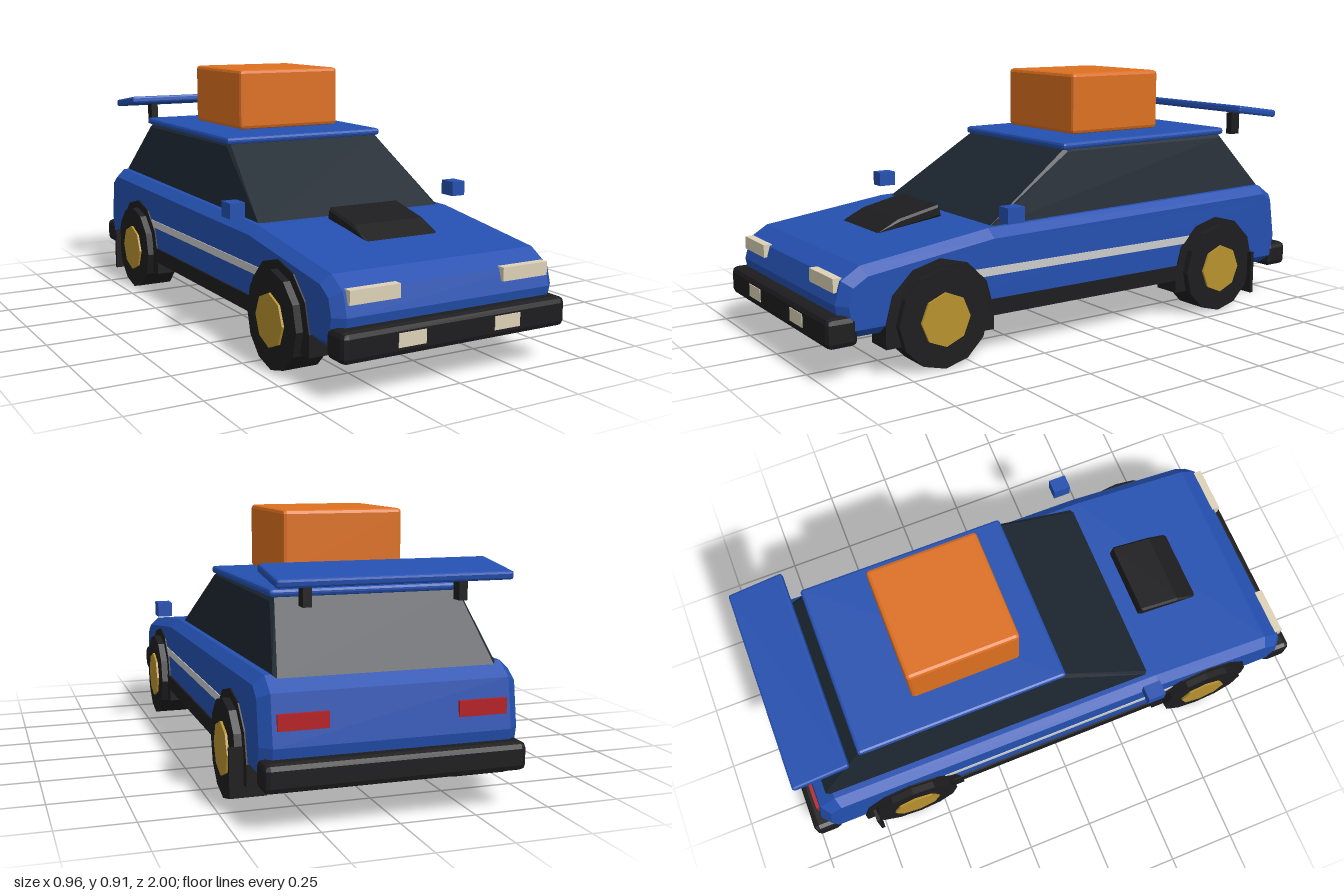
import * as THREE from 'three';
import { RoundedBoxGeometry } from 'three/addons/geometries/RoundedBoxGeometry.js';

const mat = (color) => new THREE.MeshStandardMaterial({ color, flatShading: true });

export function createModel() {
  const car = new THREE.Group();
  car.name = 'car';
  const blue = mat(0x2450b0), black = mat(0x1d1d1f), glass = mat(0x1c2630), gold = mat(0xb8922e);
  const cream = mat(0xddd2b8), red = mat(0xb52025), orange = mat(0xdd7020), grey = mat(0xcccccc);

  function add(name, geometry, material, x = 0, y = 0, z = 0) {
    const mesh = new THREE.Mesh(geometry, material);
    mesh.name = name;
    mesh.position.set(x, y, z);
    car.add(mesh);
    return mesh;
  }
  const box = (w, h, d) => new THREE.BoxGeometry(w, h, d);
  const chamferBox = (w, h, d, r) => new RoundedBoxGeometry(w, h, d, 1, r);

  // Side profile of [z, y] points extruded across x, with a chamfered rim
  function sideExtrude(points, width, bevel, bevelDepth = bevel) {
    const shape = new THREE.Shape(points.map(([z, y]) => new THREE.Vector2(z, y)));
    const depth = width - 2 * bevelDepth;
    const geometry = new THREE.ExtrudeGeometry(shape, {
      depth, bevelEnabled: bevel > 0, bevelSize: bevel, bevelThickness: bevelDepth,
      bevelOffset: -bevel, bevelSegments: 1,
    });
    return geometry.translate(0, 0, -depth / 2).rotateY(-Math.PI / 2);
  }

  // Lower body
  add('body', sideExtrude([
    [0.935, 0.14], [0.957, 0.25], [0.935, 0.325], [0.87, 0.365], [0.4, 0.428],
    [-0.87, 0.453], [-0.932, 0.41], [-0.957, 0.25], [-0.935, 0.14],
  ], 0.84, 0.03, 0.035), blue);

  // Cabin windows, narrowing towards the roof
  const cabin = sideExtrude([[0.385, 0.42], [0.03, 0.66], [-0.715, 0.66], [-0.895, 0.445]], 0.74, 0.012);
  const pos = cabin.attributes.position;
  for (let i = 0; i < pos.count; i++) {
    pos.setX(i, pos.getX(i) * (1 - 0.57 * (pos.getY(i) - 0.42)));
  }
  cabin.computeVertexNormals();
  add('cabinWindows', cabin, glass);

  add('roof', chamferBox(0.654, 0.026, 0.775, 0.01), blue, 0, 0.67, -0.34).rotation.x = 0.008;
  add('roofBox', chamferBox(0.42, 0.222, 0.405, 0.013), orange, 0, 0.801, -0.283);
  add('hoodScoop', sideExtrude([[0.68, 0.4], [0.6, 0.44], [0.445, 0.474], [0.435, 0.432]], 0.284, 0.008), black);

  // Bumpers
  add('frontBumper', chamferBox(0.846, 0.1, 0.105, 0.02), black, 0, 0.17, 0.947);
  add('rearBumper', chamferBox(0.846, 0.092, 0.1, 0.02), black, 0, 0.17, -0.95);

  // Rear wing
  add('wing', chamferBox(0.752, 0.028, 0.205, 0.008), blue, 0, 0.745, -0.864).rotation.x = -0.14;

  // Mirrored parts
  for (const side of [1, -1]) {
    add('wingStrut', box(0.028, 0.085, 0.042), black, side * 0.253, 0.69, -0.852);
    add('mirror', box(0.055, 0.053, 0.066), blue, side * 0.455, 0.481, 0.352);
    add('headlight', box(0.18, 0.045, 0.03), cream, side * 0.286, 0.31, 0.942);
    add('fogLight', box(0.1, 0.045, 0.02), cream, side * 0.181, 0.172, 0.992);
    add('tailLight', box(0.16, 0.05, 0.03), red, side * 0.29, 0.325, -0.939);
    add('sideStripe', box(0.02, 0.028, 0.94), grey, side * 0.413, 0.289, 0);
    add('sill', box(0.06, 0.055, 0.9), black, side * 0.397, 0.167, 0);
    add('mudFlap', box(0.12, 0.16, 0.014), black, side * 0.41, 0.13, -0.763);

    for (const z of [0.605, -0.605]) {
      // Arch: half round top on straight legs
      const arch = [[-0.2, 0.092], [0.2, 0.092]];
      for (let i = 0; i <= 6; i++) {
        const a = (i / 6) * Math.PI;
        arch.push([0.2 * Math.cos(a), 0.165 + 0.195 * Math.sin(a)]);
      }
      add('wheelArch', sideExtrude(arch, 0.1, 0), black, side * 0.375, 0, z);
      add('tire', new THREE.CylinderGeometry(0.165, 0.165, 0.124, 12).rotateZ(Math.PI / 2),
        black, side * 0.388, 0.165, z);
      add('hub', new THREE.CylinderGeometry(0.09, 0.09, 0.03, 8).rotateZ(Math.PI / 2),
        gold, side * 0.443, 0.165, z);
    }
  }
  return car;
}
